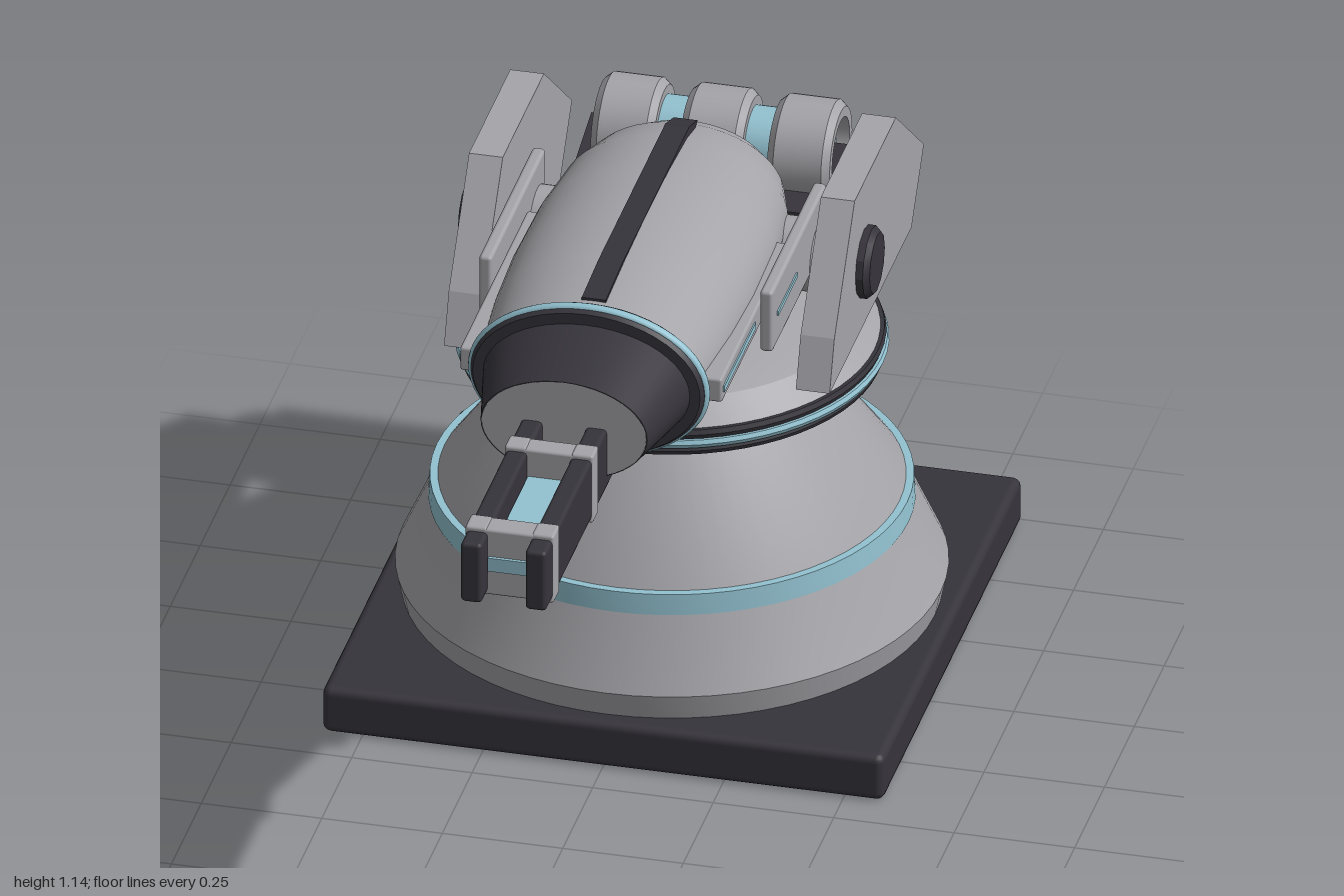
import * as THREE from 'three';
import { toCreasedNormals } from 'three/addons/utils/BufferGeometryUtils.js';
import { RoundedBoxGeometry } from 'three/addons/geometries/RoundedBoxGeometry.js';

const CZ = -0.415; // turntable centre
const BY = 0.97;   // barrel axis height

export function createModel() {
  const model = new THREE.Group();
  const material = (name, color) => {
    const m = new THREE.MeshStandardMaterial({ color });
    m.name = name;
    return m;
  };
  const grey = material('armour grey', 0xa4a4a9);
  const dark = material('dark metal', 0x36343b);
  const blue = material('pale blue', 0x93c2d1);

  const add = (name, geometry, mat, x = 0, y = 0, z = 0) => {
    const mesh = new THREE.Mesh(geometry, mat);
    mesh.name = name;
    mesh.position.set(x, y, z);
    model.add(mesh);
    return mesh;
  };
  const lathe = (points, sides = 48) => toCreasedNormals(
    new THREE.LatheGeometry(points.map(p => new THREE.Vector2(...p)), sides), 0.45);
  // Box given by its minimum and maximum corners
  const box = (name, a, b, mat, r = 0) => {
    const s = a.map((v, i) => b[i] - v), c = a.map((v, i) => (v + b[i]) / 2);
    const g = r ? new RoundedBoxGeometry(...s, 2, r) : new THREE.BoxGeometry(...s);
    return add(name, g, mat, ...c);
  };
  // Side profile of [z, y] points, extruded across x from x0 to x1
  const plate = (name, profile, x0, x1, mat) => {
    const shape = new THREE.Shape(profile.map(([z, y]) => new THREE.Vector2(-z, y)));
    const g = new THREE.ExtrudeGeometry(shape, { depth: x1 - x0, bevelEnabled: false });
    g.rotateY(Math.PI / 2);
    return add(name, g, mat, x0, 0, 0);
  };
  // Oval solid turned around the barrel axis from [halfWidth, z] points
  const oval = (name, points, mat, ratio) => {
    const g = lathe(points);
    g.rotateX(Math.PI / 2);
    const mesh = add(name, g, mat, 0, BY, 0);
    mesh.scale.y = ratio;
    return mesh;
  };

  // Ground slab and pedestal
  box('baseSlab', [-0.583, 0, CZ - 0.583], [0.583, 0.104, CZ + 0.583], dark, 0.018);
  add('pedestal', lathe([[0, 0.1], [0.545, 0.1], [0.558, 0.16], [0.49, 0.31],
    [0.474, 0.355], [0.276, 0.625], [0, 0.625]], 64), grey, 0, 0, CZ);
  add('pedestalBand', lathe([[0.47, 0.312], [0.491, 0.312], [0.488, 0.358], [0.465, 0.358]], 64),
    blue, 0, 0, CZ);

  // Turntable: shallow dome over a striped ring
  add('turntable', lathe([[0, 0.652], [0.42, 0.652], [0.42, 0.705], [0.375, 0.752],
    [0.31, 0.773], [0, 0.797]], 64), grey, 0, 0, CZ);
  for (const [y0, y1, r, mat] of [[0.648, 0.667, 0.43, dark], [0.667, 0.685, 0.438, blue],
    [0.685, 0.705, 0.432, dark]]) {
    add('turntableRing', lathe([[0.40, y0], [r - 0.004, y0], [r, (y0 + y1) / 2],
      [r - 0.004, y1], [0.40, y1]], 64), mat, 0, 0, CZ);
  }

  // Cheek plates and pivot
  const cheek = [[-0.12, 0.765], [-0.16, 0.87], [-0.33, 1.095], [-0.675, 1.095],
    [-0.91, 0.9], [-0.807, 0.765]];
  const pivot = new THREE.CylinderGeometry(0.075, 0.075, 0.63, 32);
  pivot.rotateZ(Math.PI / 2);
  add('pivotShaft', pivot, grey, 0, 0.91, -0.41);
  for (const s of [-1, 1]) {
    plate('cheekPlate', cheek, s > 0 ? 0.33 : -0.4, s > 0 ? 0.4 : -0.33, grey);
    const cap = lathe([[0, 0.38], [0.075, 0.38], [0.075, 0.415], [0.064, 0.427], [0, 0.427]], 12);
    cap.rotateZ(-s * Math.PI / 2);
    add('pivotCap', cap, dark, 0, 0.91, -0.41);
  }

  // Rear tray with three rollers on a shared axle
  plate('rearTray', [[-0.69, 0.765], [-0.985, 0.765], [-0.985, 0.825], [-0.89, 0.89],
    [-0.78, 0.86], [-0.69, 0.835]], -0.285, 0.285, dark);
  const axle = new THREE.CylinderGeometry(0.076, 0.076, 0.44, 32);
  axle.rotateZ(Math.PI / 2);
  add('rollerAxle', axle, blue, -0.004, 0.895, -0.845);
  for (const x of [-0.187, -0.004, 0.179]) {
    const g = lathe([[0.074, -0.065], [0.095, -0.065], [0.108, -0.05], [0.108, 0.05],
      [0.095, 0.065], [0.074, 0.065], [0.074, -0.065]], 32);
    g.rotateZ(Math.PI / 2);
    add('roller', g, grey, x, 0.895, -0.845);
  }

  // Barrel housing, collar and muzzle
  oval('barrelHousing', [[0, -0.58], [0.17, -0.58], [0.205, -0.53], [0.235, -0.44],
    [0.252, -0.28], [0.256, -0.08], [0.25, 0.08], [0.233, 0.27], [0, 0.27]], grey, 0.675);
  oval('collar', [[0, 0.258], [0.238, 0.258], [0.243, 0.27], [0.243, 0.292],
    [0.236, 0.302], [0, 0.302]], dark, 0.685);
  const ring = add('collarRing', new THREE.TorusGeometry(0.24, 0.011, 10, 64), blue, 0, BY, 0.28);
  ring.scale.y = 0.69;
  oval('muzzle', [[0.2, 0.29], [0.215, 0.3], [0.173, 0.49], [0.17, 0.49]], dark, 0.64);
  oval('muzzleFace', [[0, 0.46], [0.171, 0.46], [0.171, 0.49], [0, 0.49]], grey, 0.64);
  plate('topSpine', [[0.24, 1.11], [0.24, 1.134], [0.1, 1.143], [-0.46, 1.143],
    [-0.53, 1.118], [-0.5, 1.11]], -0.025, 0.025, dark);

  // Side rails and fins along the barrel
  for (const s of [-1, 1]) {
    const sideBox = (name, x0, x1, y0, y1, z0, z1, mat, r) => box(name,
      [s > 0 ? x0 : -x1, y0, z0], [s > 0 ? x1 : -x0, y1, z1], mat, r);
    sideBox('sideRail', 0.215, 0.272, 0.943, 0.997, -0.3, 0.265, grey, 0.006);
    sideBox('sideRailStripe', 0.269, 0.275, 0.963, 0.977, -0.01, 0.255, blue);
    sideBox('sideFin', 0.278, 0.305, 0.9, 1.04, -0.48, -0.025, grey, 0.008);
    sideBox('sideFinStripe', 0.302, 0.308, 0.965, 0.975, -0.225, -0.065, blue);
  }

  // Twin emitter rails, glowing core and clamps
  for (const s of [-1, 1]) {
    box('emitterRail', [s * 0.067 - 0.022, 0.845, 0.42], [s * 0.067 + 0.022, 0.982, 1], dark, 0.009);
  }
  box('emitterCore', [-0.043, 0.897, 0.45], [0.043, 0.928, 0.955], blue);
  for (const [z0, z1] of [[0.57, 0.618], [0.895, 0.948]]) {
    box('emitterClamp', [-0.087, 0.838, z0], [0.087, 0.99, z1], grey, 0.006);
    for (const s of [-1, 1]) {
      box('clampLug', [s * 0.069 - 0.023, 0.836, z0], [s * 0.069 + 0.023, 0.992, z1], grey, 0.006);
    }
  }
  return model;
}
